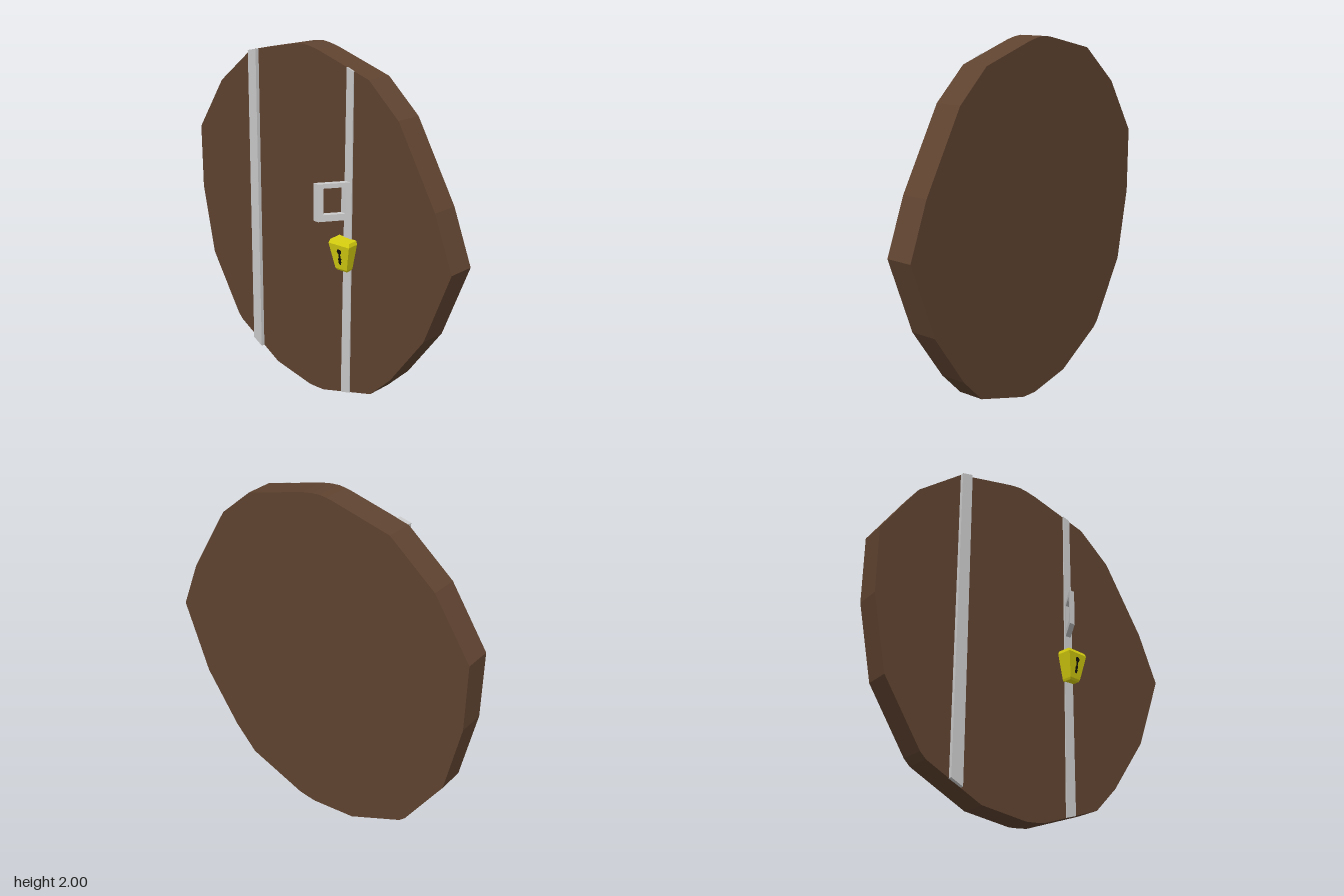
import * as THREE from 'three';

const material = (color) => new THREE.MeshStandardMaterial({ color, flatShading: true });
const toShape = (pts) => new THREE.Shape(pts.map(([x, y]) => new THREE.Vector2(x, y)));

// Flat outline pushed out from z0 to z1
function slab(name, pts, z0, z1, mat) {
  const geo = new THREE.ExtrudeGeometry(toShape(pts), { depth: z1 - z0, bevelEnabled: false });
  geo.translate(0, 0, z0);
  const mesh = new THREE.Mesh(geo, mat);
  mesh.name = name;
  return mesh;
}

export function createModel() {
  const model = new THREE.Group();
  model.name = 'roundDoor';
  const wood = material(0x5f4330);
  const metal = material(0xcccccc);
  const brass = material(0xd8d010);
  const black = material(0x14120a);

  // Uneven, hand-cut round door panel
  model.add(slab('doorPanel', [
    [-0.49, 1.915], [-0.15, 1.99], [-0.11, 1.997], [-0.07, 2], [-0.02, 1.995], [0.04, 1.983],
    [0.4, 1.88], [0.6, 1.71], [0.85, 1.3], [0.97, 1.01], [0.815, 0.59], [0.6, 0.28],
    [0.46, 0.135], [0.095, 0.01], [0.04, 0.004], [-0.02, 0], [-0.3, 0.04], [-0.63, 0.21],
    [-0.665, 0.245], [-0.885, 0.59], [-0.97, 1.01], [-0.97, 1.39], [-0.755, 1.705],
  ], -0.15, 0, wood));

  // Metal straps, trimmed to the panel edge
  model.add(slab('rightStrap',
    [[-0.495, 0.14], [-0.425, 0.105], [-0.425, 1.93], [-0.49, 1.915]], -0.002, 0.022, metal));
  model.add(slab('leftStrap',
    [[0.24, 0.06], [0.305, 0.08], [0.3, 1.91], [0.253, 1.925]], -0.002, 0.006, metal));

  // Handle: rectangular frame in the z-y plane, sheared sideways
  const frame = toShape([[0, 1.12], [0.152, 1.12], [0.152, 1.328], [0, 1.328]]);
  frame.holes.push(new THREE.Path(
    [[0.025, 1.157], [0.025, 1.303], [0.127, 1.303], [0.127, 1.157]]
      .map(([x, y]) => new THREE.Vector2(x, y))));
  const handleGeo = new THREE.ExtrudeGeometry(frame, { depth: 0.035, bevelEnabled: false });
  handleGeo.rotateY(-Math.PI / 2);
  const hp = handleGeo.attributes.position;
  for (let i = 0; i < hp.count; i++) hp.setX(i, 0.295 + hp.getX(i) - 0.62 * hp.getZ(i));
  handleGeo.computeVertexNormals();
  const handle = new THREE.Mesh(handleGeo, metal);
  handle.name = 'handle';
  model.add(handle);

  // Lock: tapered block with chamfered top and bottom; levels are [y, half width, front z]
  const lock = new THREE.Group();
  lock.name = 'lock';
  const levels = [[0.835, 0.033, 0.048], [0.847, 0.038, 0.056], [0.992, 0.068, 0.08], [1.012, 0.062, 0.07]];
  const lockGeo = new THREE.BoxGeometry(1, 1, 1, 1, 3, 1);
  const lp = lockGeo.attributes.position;
  for (let i = 0; i < lp.count; i++) {
    const [y, w, z] = levels[Math.round((lp.getY(i) + 0.5) * 3)];
    lp.setXYZ(i, Math.sign(lp.getX(i)) * w, y, lp.getZ(i) > 0 ? z : -0.02);
  }
  const bodyGeo = lockGeo.toNonIndexed();
  bodyGeo.computeVertexNormals();
  const body = new THREE.Mesh(bodyGeo, brass);
  body.name = 'lockBody';
  lock.add(body);

  // Keyhole: round eye above a narrow stepped slot, lying on the sloping face
  const keyhole = new THREE.Group();
  keyhole.name = 'keyhole';
  const eye = new THREE.Mesh(new THREE.CircleGeometry(0.015, 12), black);
  eye.name = 'keyholeEye';
  eye.position.y = 0.035;
  const slot = new THREE.Mesh(new THREE.ShapeGeometry(toShape([
    [-0.006, 0.03], [-0.005, 0], [-0.011, -0.012], [-0.009, -0.042], [0.004, -0.046],
    [0.006, -0.034], [0.012, -0.028], [0.005, -0.02], [0.012, -0.008], [0.006, 0], [0.006, 0.03],
  ])), black);
  slot.name = 'keyholeSlot';
  keyhole.add(eye, slot);
  keyhole.position.set(0, 0.92, 0.0705);
  keyhole.rotation.x = Math.atan2(0.024, 0.145);
  lock.add(keyhole);
  lock.position.x = 0.272;
  lock.rotation.y = 0.12;
  model.add(lock);

  return model;
}
